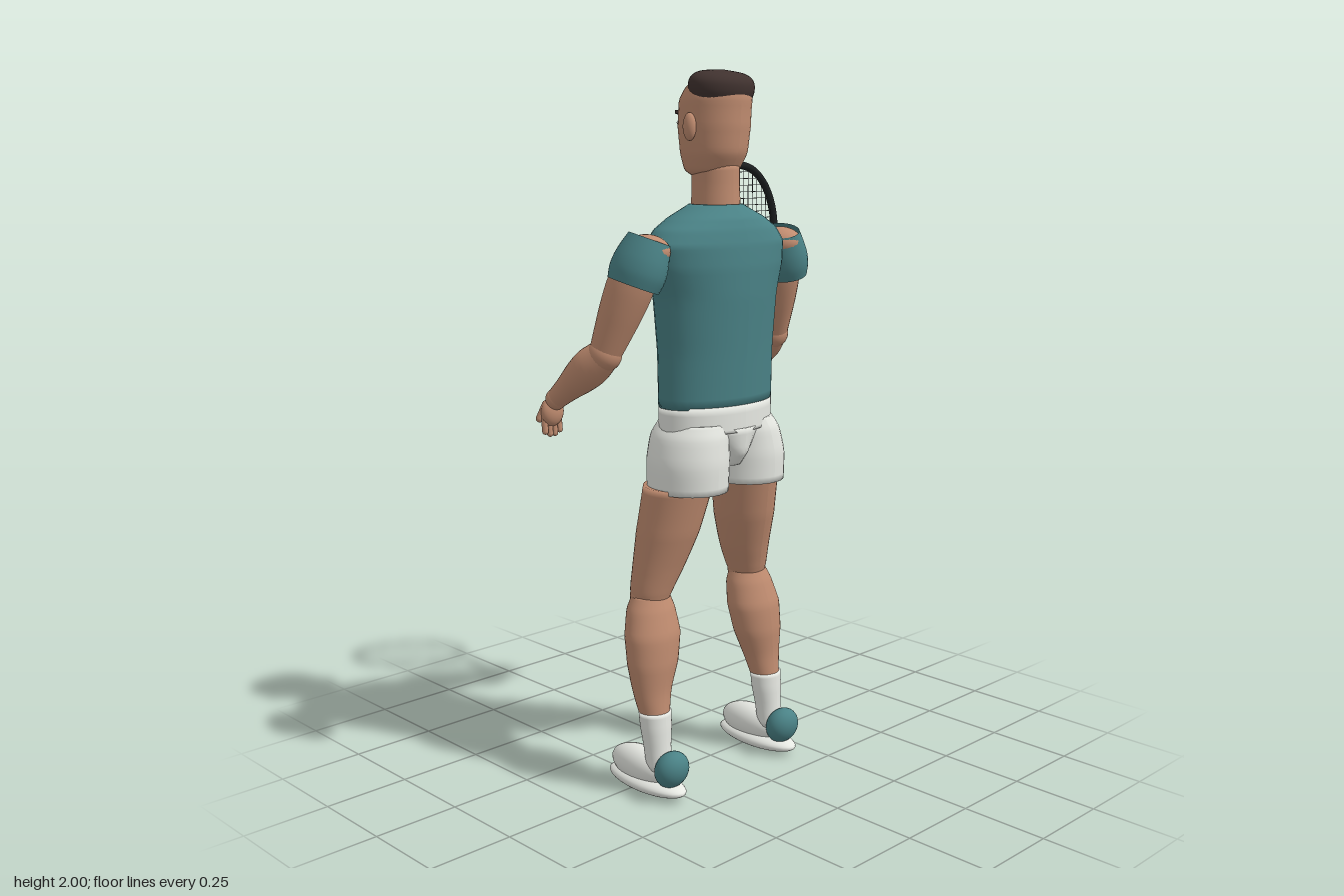
import * as THREE from 'three';

const V = (x, y, z) => new THREE.Vector3(x, y, z);
const mat = (color) => new THREE.MeshStandardMaterial({ color, side: THREE.DoubleSide });
const CX = -0.06; // the body's own centre line

export function createModel() {
  const model = new THREE.Group();
  const skin = mat(0xc08c70), teal = mat(0x4a8286), white = mat(0xe6e8e2), hairMat = mat(0x40322f);
  const black = mat(0x1c1f20), grey = mat(0x8c8f90), lime = mat(0xa3a844), stringMat = mat(0x55585a);

  const add = (name, geo, material, parent = model) => {
    const mesh = new THREE.Mesh(geo, material);
    mesh.name = name;
    parent.add(mesh);
    return mesh;
  };

  // Smooth body from horizontal elliptical sections [x, y, z, rx, rz], listed bottom to top
  const loft = (name, rings, material, steps = 28, sides = 36) => {
    const centres = new THREE.CatmullRomCurve3(rings.map((r) => V(r[0], r[1], r[2])), false, 'centripetal');
    const at = (t, k) => {
      const f = t * (rings.length - 1), i = Math.min(Math.floor(f), rings.length - 2);
      return THREE.MathUtils.lerp(rings[i][k], rings[i + 1][k], f - i);
    };
    const pos = [], idx = [];
    for (let j = -1; j <= steps + 1; j++) {
      const t = THREE.MathUtils.clamp(j / steps, 0, 1), c = centres.getPoint(t);
      const s = j < 0 || j > steps ? 0 : 1;
      for (let i = 0; i <= sides; i++) {
        const a = (i / sides) * Math.PI * 2;
        pos.push(c.x + Math.sin(a) * at(t, 3) * s, c.y, c.z + Math.cos(a) * at(t, 4) * s);
      }
    }
    const w = sides + 1;
    for (let j = 0; j < steps + 2; j++) for (let i = 0; i < sides; i++) {
      const p = j * w + i;
      idx.push(p, p + 1, p + w, p + 1, p + w + 1, p + w);
    }
    const geo = new THREE.BufferGeometry();
    geo.setAttribute('position', new THREE.Float32BufferAttribute(pos, 3));
    geo.setIndex(idx);
    geo.computeVertexNormals();
    return add(name, geo, material);
  };

  // Turned limb between two points; radii are spread evenly along it
  const limb = (name, a, b, radii, material, sx = 1, sz = 1) => {
    const len = a.distanceTo(b);
    const curve = new THREE.SplineCurve(radii.map((r, i) => new THREE.Vector2(r, (i / (radii.length - 1)) * len)));
    const mesh = add(name, new THREE.LatheGeometry(curve.getPoints(16), 28), material);
    mesh.position.copy(a);
    mesh.quaternion.setFromUnitVectors(V(0, 1, 0), b.clone().sub(a).normalize());
    mesh.scale.set(sx, 1, sz);
    return mesh;
  };

  const ball = (name, x, y, z, rx, ry, rz, material) => {
    const mesh = add(name, new THREE.SphereGeometry(1, 28, 18), material);
    mesh.position.set(x, y, z);
    mesh.scale.set(rx, ry, rz);
    return mesh;
  };

  const rod = (name, a, b, r, material, sides = 12) => {
    const mesh = add(name, new THREE.CylinderGeometry(r, r, a.distanceTo(b), sides), material);
    mesh.position.copy(a).lerp(b, 0.5);
    mesh.quaternion.setFromUnitVectors(V(0, 1, 0), b.clone().sub(a).normalize());
    return mesh;
  };

  // Shirt, waistband and neck
  loft('shirt', [[CX, 1.1, 0.08, 0.19, 0.115], [CX, 1.25, 0.08, 0.19, 0.122], [CX, 1.4, 0.08, 0.203, 0.131],
    [CX, 1.48, 0.08, 0.228, 0.132], [CX, 1.54, 0.08, 0.236, 0.127], [CX, 1.58, 0.08, 0.205, 0.117],
    [CX, 1.61, 0.08, 0.155, 0.104], [CX, 1.645, 0.08, 0.075, 0.073]], teal, 40);
  loft('waistband', [[CX, 1.03, 0.08, 0.188, 0.118], [CX, 1.105, 0.08, 0.188, 0.118]], white, 4);
  loft('crotch', [[CX, 0.93, 0.08, 0.05, 0.085], [CX, 0.97, 0.08, 0.06, 0.115], [CX, 1.04, 0.08, 0.125, 0.122]], white, 8);
  loft('neck', [[CX, 1.6, 0.08, 0.068, 0.071], [CX, 1.69, 0.08, 0.064, 0.067], [CX, 1.75, 0.08, 0.064, 0.067]], skin, 8);
  const badge = ball('chestBadge', -0.18, 1.47, -0.032, 0.019, 0.021, 0.004, white);
  badge.rotation.y = 0.4;

  // Head, hair and face (the face looks toward -z)
  loft('head', [[CX, 1.715, 0.065, 0.045, 0.045], [CX, 1.735, 0.065, 0.074, 0.074], [CX, 1.78, 0.072, 0.09, 0.093],
    [CX, 1.85, 0.074, 0.098, 0.1], [CX, 1.92, 0.08, 0.1, 0.098], [CX, 1.955, 0.09, 0.09, 0.085],
    [CX, 1.98, 0.1, 0.06, 0.06]], skin, 32);
  const hairProfile = new THREE.SplineCurve([[0.093, -0.025], [0.1, 0], [0.094, 0.026], [0.065, 0.043], [0, 0.05]]
    .map((p) => new THREE.Vector2(...p)));
  const hair = add('hair', new THREE.LatheGeometry(hairProfile.getPoints(20), 36), hairMat);
  hair.position.set(CX, 1.95, 0.101);
  hair.scale.z = 0.78;
  hair.rotation.x = 0.12;
  ball('noseBridge', CX, 1.845, -0.024, 0.011, 0.028, 0.013, skin);
  ball('noseTip', CX, 1.828, -0.03, 0.017, 0.014, 0.016, skin);
  ball('mouth', CX, 1.776, -0.02, 0.026, 0.006, 0.007, mat(0x7c4a40));
  for (const s of [-1, 1]) {
    const x = CX + s * 0.04;
    ball('ear', CX + s * 0.103, 1.85, 0.085, 0.016, 0.037, 0.02, skin);
    ball('eye', x, 1.862, -0.012, 0.016, 0.009, 0.009, white);
    ball('pupil', x, 1.862, -0.019, 0.006, 0.007, 0.005, black);
    const brow = add('eyebrow', new THREE.BoxGeometry(0.042, 0.009, 0.012), hairMat);
    brow.position.set(x, 1.888, -0.018);
    brow.rotation.set(0, -s * 0.4, s * 0.1);
  }

  for (const s of [-1, 1]) {
    const X = (d) => CX + s * d;

    // Shorts, leg, sock and shoe
    loft('shortsLeg', [[X(0.112), 0.868, 0.083, 0.107, 0.12], [X(0.11), 0.95, 0.083, 0.109, 0.123],
      [X(0.1), 1.02, 0.08, 0.1, 0.118], [X(0.09), 1.055, 0.08, 0.085, 0.105]], white, 14);
    loft('thigh', [[X(0.196), 0.545, 0.018, 0.05, 0.046], [X(0.19), 0.58, 0.018, 0.062, 0.058],
      [X(0.172), 0.65, 0.028, 0.076, 0.071], [X(0.152), 0.75, 0.045, 0.089, 0.089],
      [X(0.132), 0.88, 0.066, 0.095, 0.1]], skin);
    ball('knee', X(0.194), 0.565, 0.014, 0.058, 0.045, 0.053, skin);
    loft('calf', [[X(0.226), 0.22, 0.068, 0.04, 0.04], [X(0.222), 0.3, 0.052, 0.058, 0.05],
      [X(0.212), 0.38, 0.044, 0.079, 0.063], [X(0.204), 0.46, 0.035, 0.087, 0.068],
      [X(0.198), 0.53, 0.022, 0.073, 0.061], [X(0.195), 0.57, 0.018, 0.055, 0.048]], skin);
    loft('sock', [[X(0.227), 0.08, 0.085, 0.036, 0.036], [X(0.227), 0.145, 0.077, 0.039, 0.039],
      [X(0.226), 0.2, 0.071, 0.046, 0.043], [X(0.226), 0.245, 0.067, 0.048, 0.044]], white, 12);
    const sx = X(0.227);
    ball('sole', sx, 0.028, 0.034, 0.06, 0.027, 0.149, white);
    ball('shoeUpper', sx, 0.068, 0.014, 0.051, 0.054, 0.118, white);
    const heel = ball('shoeHeel', sx, 0.09, 0.136, 0.053, 0.054, 0.043, teal);
    heel.rotation.x = 0.3;

    // Sleeve with the shoulder showing at its top, then arm
    const top = V(X(0.25), 1.562, 0.085), hem = V(X(0.288), 1.44, 0.062);
    limb('sleeve', hem, top, [0.077, 0.083, 0.081, 0.073, 0.062], teal, 0.85, 1);
    ball('shoulder', X(0.257), 1.528, 0.08, 0.06, 0.046, 0.07, skin);
    const elbow = V(X(0.327), 1.255, -0.01), wrist = V(X(s > 0 ? 0.356 : 0.368), 1.12, -0.168);
    limb('upperArm', elbow, V(X(0.27), 1.5, 0.068), [0.043, 0.052, 0.06, 0.064, 0.06], skin);
    ball('elbow', elbow.x, elbow.y, elbow.z, 0.047, 0.047, 0.047, skin);
    limb('forearm', wrist, elbow, [0.029, 0.037, 0.048, 0.053, 0.044], skin);
    ball('wrist', wrist.x, wrist.y, wrist.z, 0.03, 0.03, 0.03, skin);
  }

  // Free hand: palm, four hanging fingers and a thumb
  ball('palm', -0.43, 1.083, -0.184, 0.036, 0.04, 0.022, skin);
  const capsule = (name, a, b, r) => {
    const mesh = add(name, new THREE.CapsuleGeometry(r, a.distanceTo(b), 5, 12), skin);
    mesh.position.copy(a).lerp(b, 0.5);
    mesh.quaternion.setFromUnitVectors(V(0, 1, 0), b.clone().sub(a).normalize());
  };
  for (let i = 0; i < 4; i++) {
    const x = -0.454 + i * 0.0165;
    capsule('finger', V(x, 1.07, -0.19), V(x, i % 3 ? 1.022 : 1.03, -0.186), 0.009);
  }
  capsule('thumb', V(-0.445, 1.105, -0.192), V(-0.46, 1.065, -0.202), 0.011);

  // Racket
  const rx = 0.3, ry = 1.543, rz = -0.182, RX = 0.155, RY = 0.198;
  const rim = (a, extra = 0) => V(rx + (RX + extra) * Math.cos(a), ry + (RY + extra) * Math.sin(a), rz);
  class Arc extends THREE.Curve {
    constructor(from, to) { super(); this.from = from; this.to = to; }
    getPoint(t) { return rim(this.from + (this.to - this.from) * t); }
  }
  add('racketFrame', new THREE.TubeGeometry(new Arc(0, Math.PI * 2), 80, 0.0115, 10, true), black);
  for (const a of [0, Math.PI]) add('frameAccent', new THREE.TubeGeometry(new Arc(a - 0.1, a + 0.1), 8, 0.0122, 10), lime);
  add('bridgeAccent', new THREE.TubeGeometry(new Arc(-Math.PI / 2 - 0.45, -Math.PI / 2 + 0.45), 16, 0.0122, 10), lime);
  for (const s of [-1, 1]) {
    rod('throat', rim(-Math.PI / 2 + s * 0.5), V(rx + s * 0.017, 1.2, rz), 0.0105, black);
  }
  for (let i = -7; i <= 7; i++) {
    const u = i / 8, h = Math.sqrt(1 - u * u);
    rod('mainString', V(rx + u * RX, ry - h * RY, rz), V(rx + u * RX, ry + h * RY, rz), 0.001, stringMat, 5);
  }
  for (let i = -9; i <= 9; i++) {
    const u = i / 10, h = Math.sqrt(1 - u * u);
    rod('crossString', V(rx - h * RX, ry + u * RY, rz), V(rx + h * RX, ry + u * RY, rz), 0.001, stringMat, 5);
  }
  const grip = rod('grip', V(rx - 0.003, 1.025, rz), V(rx, 1.22, rz), 0.025, grey, 8);
  grip.scale.z = 0.75;
  rod('gripCap', V(rx - 0.003, 1.013, rz), V(rx - 0.003, 1.032, rz), 0.028, black, 8).scale.z = 0.8;

  // Gripping hand: palm behind, fingers wrapped round the handle
  ball('grippingPalm', 0.295, 1.088, -0.176, 0.036, 0.042, 0.026, skin);
  for (let i = 0; i < 4; i++) {
    const finger = add('wrappedFinger', new THREE.TorusGeometry(0.028, 0.0095, 8, 24), skin);
    finger.position.set(0.297, 1.056 + i * 0.017, rz);
    finger.rotation.x = Math.PI / 2;
    finger.scale.y = 0.72;
  }
  capsule('grippingThumb', V(0.268, 1.105, -0.188), V(0.264, 1.085, -0.2), 0.011);
  return model;
}
